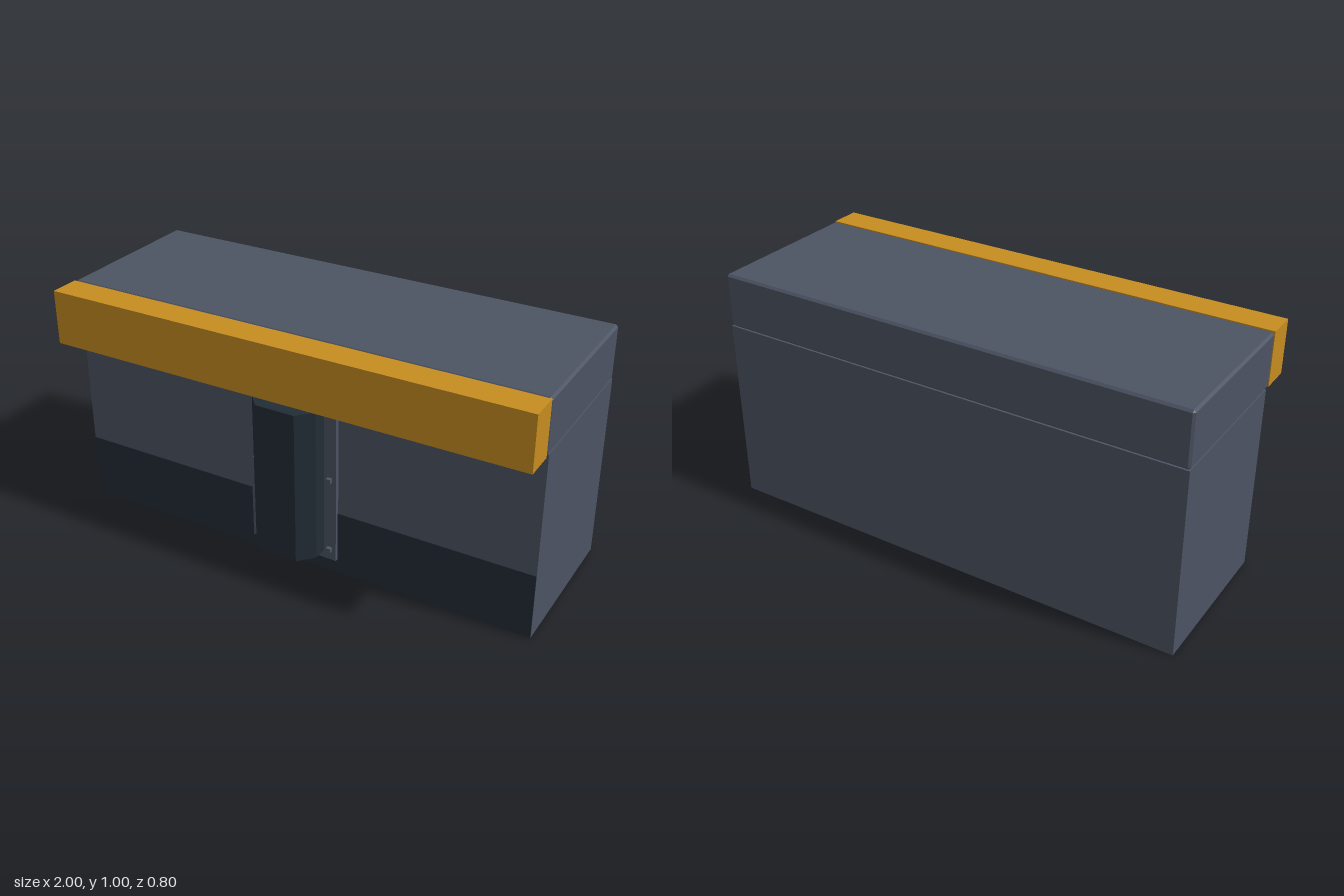
import * as THREE from 'three';
import { ConvexGeometry } from 'three/addons/geometries/ConvexGeometry.js';

const material = (name, color) => {
  const m = new THREE.MeshStandardMaterial({ color });
  m.name = name;
  return m;
};

// Box with every edge cut at an angle, given by its centre half sizes
function chamferedBox(hx, hy, hz, c) {
  const points = [];
  for (const sx of [-1, 1]) for (const sy of [-1, 1]) for (const sz of [-1, 1]) {
    points.push(
      new THREE.Vector3(sx * hx, sy * (hy - c), sz * (hz - c)),
      new THREE.Vector3(sx * (hx - c), sy * hy, sz * (hz - c)),
      new THREE.Vector3(sx * (hx - c), sy * (hy - c), sz * hz)
    );
  }
  return new ConvexGeometry(points);
}

export function createModel() {
  const model = new THREE.Group();
  model.name = 'wallBlock';
  const slate = material('slate', 0x4c5363);
  const dark = material('darkSlate', 0x222d35);
  const gold = material('gold', 0xc68c20);

  const add = (name, geometry, mat, x = 0, y = 0, z = 0) => {
    const mesh = new THREE.Mesh(geometry, mat);
    mesh.name = name;
    mesh.position.set(x, y, z);
    model.add(mesh);
    return mesh;
  };
  // Box from its lower and upper limits
  const box = (name, mat, x0, x1, y0, y1, z0, z1) =>
    add(name, new THREE.BoxGeometry(x1 - x0, y1 - y0, z1 - z0), mat,
      (x0 + x1) / 2, (y0 + y1) / 2, (z0 + z1) / 2);

  // Main wall, lower skirt and top block
  box('wall', slate, -1, 1, 0, 0.776, -0.4, 0.252);
  box('skirtPanel', dark, -1, 1, 0.003, 0.277, 0.25, 0.256);
  add('topBlock', chamferedBox(1, 0.112, 0.3375, 0.009), slate, 0, 0.888, -0.0625);

  // Overhanging front beam
  box('frontBeam', gold, -1, 1, 0.777, 1, 0.276, 0.4);

  // Plate that carries the column
  box('mountPlate', slate, -0.19, 0.19, 0.065, 0.776, 0.25, 0.27);

  // Column with two angled front corners, extruded upward
  const section = new THREE.Shape([
    [-0.138, -0.265], [-0.138, -0.33], [-0.083, -0.393],
    [0.083, -0.393], [0.138, -0.33], [0.138, -0.265]
  ].map(([x, y]) => new THREE.Vector2(x, y)));
  const columnGeometry = new THREE.ExtrudeGeometry(section, { depth: 0.64, bevelEnabled: false });
  columnGeometry.rotateX(-Math.PI / 2);
  add('column', columnGeometry, dark, 0, 0.1, 0);

  // Bolts down both sides of the plate
  for (const x of [-0.163, 0.163]) {
    for (const y of [0.113, 0.428, 0.743]) {
      add('bolt', new THREE.BoxGeometry(0.019, 0.02, 0.02), slate, x, y, 0.276);
    }
  }
  return model;
}
